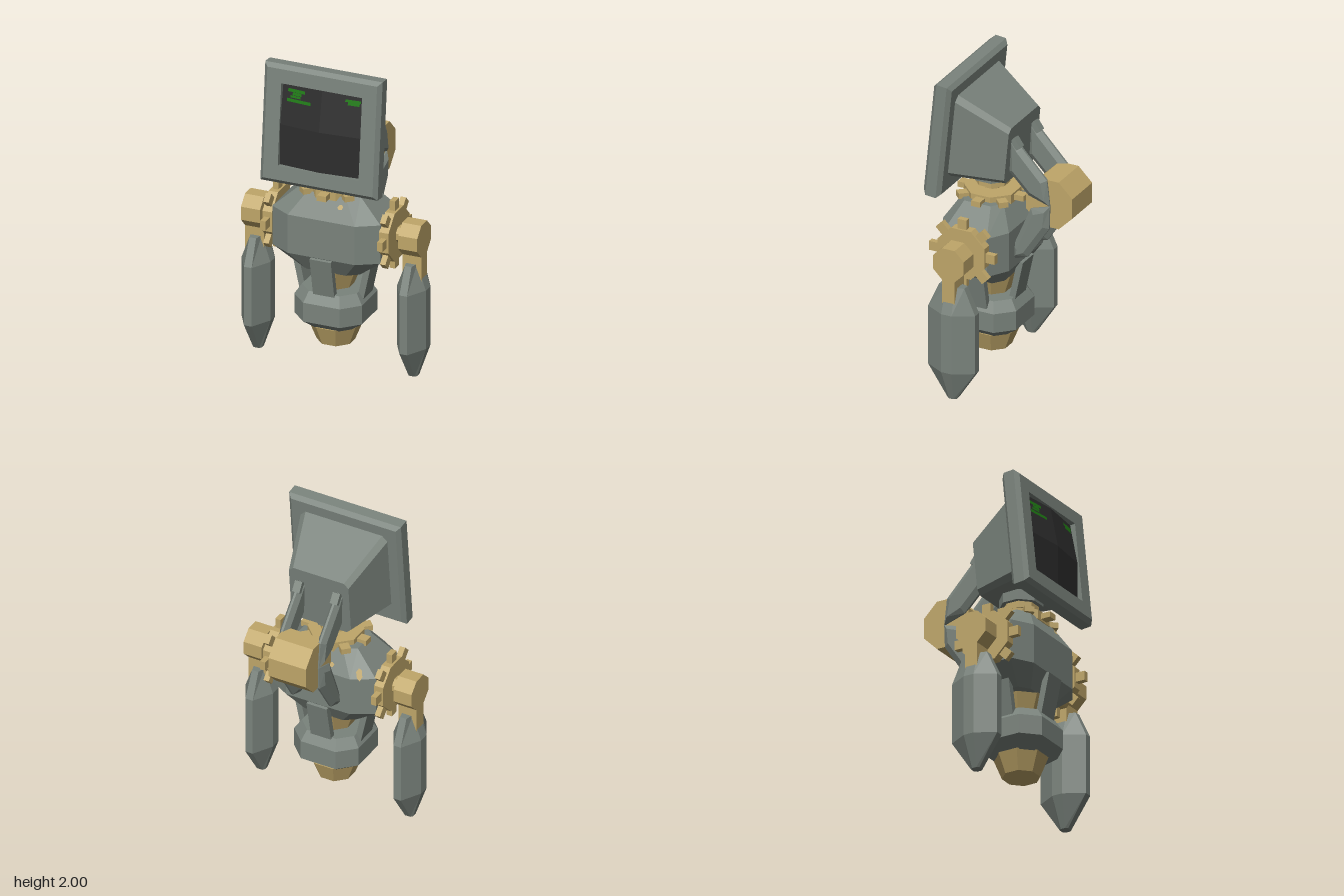
import * as THREE from 'three';

const mat = (name, color, extra = {}) => {
  const m = new THREE.MeshStandardMaterial({ color, flatShading: true, ...extra });
  m.name = name;
  return m;
};

// Closed outlines, counter-clockwise
const rect = (hx, y0, y1) => [[-hx, y0], [hx, y0], [hx, y1], [-hx, y1]];
const oct = (hx, hz, cx, cz) => [[hx, -cz], [hx, cz], [cx, hz], [-cx, hz], [-hx, cz], [-hx, -cz], [-cx, -hz], [cx, -hz]];
const bevelRect = (hx, y0, y1, c) => [[hx, y0 + c], [hx, y1 - c], [hx - c, y1], [c - hx, y1], [-hx, y1 - c], [-hx, y0 + c], [c - hx, y0], [hx - c, y0]];

// Faceted skin through outlines given as [height, outline], rising along z
function loft(rings, capEnd = true) {
  const out = [], n = rings[0][1].length;
  const put = (k, i) => out.push(...rings[k][1][i % n], rings[k][0]);
  for (let k = 0; k + 1 < rings.length; k++) {
    for (let i = 0; i < n; i++) {
      put(k, i); put(k, i + 1); put(k + 1, i + 1);
      put(k, i); put(k + 1, i + 1); put(k + 1, i);
    }
  }
  for (let i = 1; i + 1 < n; i++) {
    put(0, 0); put(0, i + 1); put(0, i);
    const e = rings.length - 1;
    if (capEnd) { put(e, 0); put(e, i); put(e, i + 1); }
  }
  const g = new THREE.BufferGeometry();
  g.setAttribute('position', new THREE.Float32BufferAttribute(out, 3));
  g.computeVertexNormals();
  return g;
}
const loftY = (rings) => loft(rings).rotateX(-Math.PI / 2);

// Eight-sided drum measured across its flats
const drum = (rTop, rBottom, h) => {
  const k = Math.cos(Math.PI / 8);
  return new THREE.CylinderGeometry(rTop / k, rBottom / k, h, 8).rotateY(Math.PI / 8);
};

export function createModel() {
  const root = new THREE.Group();
  root.name = 'robot';
  const grey = mat('grey paint', 0x7a837c), gold = mat('brass', 0xbfa669);
  const dark = mat('dark screen', 0x2d2d2d, { side: THREE.DoubleSide });
  const green = mat('green display', 0x1f7a14, { side: THREE.DoubleSide });
  const C = 0.16; // z of the body axis

  const add = (name, geo, material, x = 0, y = 0, z = 0, parent = root) => {
    const m = new THREE.Mesh(geo, material);
    m.name = name;
    m.position.set(x, y, z);
    parent.add(m);
    return m;
  };
  const box = (w, h, d) => new THREE.BoxGeometry(w, h, d);

  // Torso
  add('torso', loftY([
    [0.65, oct(0.2, 0.15, 0.13, 0.1)],
    [0.77, oct(0.355, 0.225, 0.22, 0.145)],
    [1.025, oct(0.355, 0.225, 0.22, 0.145)],
    [1.165, oct(0.2, 0.14, 0.125, 0.09)],
  ]), grey, 0, 0, C);

  // Worn paint patches, laid on the sloping faces
  const patch = (x, y, z, nx, ny, nz, w, h) => {
    const shape = new THREE.Shape([[-1, -0.3], [-0.3, -1], [0.7, -0.7], [1, 0.2], [0.4, 1], [-0.6, 0.6]]
      .map(([a, b]) => new THREE.Vector2(a * w, b * h)));
    const n = new THREE.Vector3(nx, ny, nz).normalize();
    const m = add('wornPatch', new THREE.ShapeGeometry(shape), gold, x, y, z);
    m.quaternion.setFromUnitVectors(new THREE.Vector3(0, 0, 1), n);
    m.position.addScaledVector(n, 0.006);
  };
  patch(0.105, 1.11, 0.333, 0, 0.085, 0.14, 0.018, 0.018);
  patch(-0.262, 1.05, -0.025, -0.4, 0.42, -0.68, 0.04, 0.02);
  patch(-0.08, 1.07, -0.038, 0, 0.085, -0.14, 0.02, 0.018);

  // Cog wheel with eight teeth
  const cog = (name, x, y, z) => {
    const g = new THREE.Group();
    g.name = name;
    g.position.set(x, y, z);
    add('cogDisc', drum(0.16, 0.16, 0.062), gold, 0, 0, 0, g);
    for (let i = 0; i < 8; i++) {
      const a = i * Math.PI / 4;
      const t = add('cogTooth', box(0.06, 0.036, 0.075), gold, Math.sin(a) * 0.186, 0, Math.cos(a) * 0.186, g);
      t.rotation.y = a;
    }
    root.add(g);
    return g;
  };

  // Neck
  cog('neckCog', 0, 1.17, C);
  add('neckPost', drum(0.05, 0.05, 0.06), gold, 0, 1.22, C);
  add('neckCollar', drum(0.1, 0.1, 0.042), gold, 0, 1.255, C);
  add('neckMount', drum(0.125, 0.125, 0.1), grey, 0, 1.325, C);

  // Arms
  for (const s of [-1, 1]) {
    cog('shoulderCog', s * 0.383, 0.92, C).rotation.z = Math.PI / 2;
    const side = (r, h) => drum(r, r, h).rotateZ(Math.PI / 2);
    add('shoulderAxle', side(0.05, 0.07), gold, s * 0.435, 0.92, C);
    add('shoulder', side(0.105, 0.125), gold, s * 0.516, 0.915, C);
    add('armStrap', box(0.125, 0.26, 0.085), gold, s * 0.516, 0.78, C);
    add('forearm', loftY([
      [0, oct(0.03, 0.03, 0.018, 0.015)],
      [0.2, oct(0.095, 0.16, 0.025, 0.035)],
      [0.59, oct(0.095, 0.16, 0.025, 0.035)],
      [0.755, oct(0.035, 0.085, 0.022, 0.03)],
    ]), grey, s * 0.51, 0, C);
  }

  // Waist, base and struts
  add('waistCone', drum(0.155, 0.1, 0.15), gold, 0, 0.585, C);
  add('baseRing', loftY([
    [0.265, oct(0.14, 0.14, 0.08, 0.08)],
    [0.33, oct(0.222, 0.222, 0.12, 0.12)],
    [0.455, oct(0.222, 0.222, 0.12, 0.12)],
    [0.52, oct(0.18, 0.18, 0.1, 0.1)],
  ]), grey, 0, 0, C);
  add('baseBulb', drum(0.155, 0.108, 0.125), gold, 0, 0.208, C);
  add('baseTip', drum(0.108, 0.002, 0.042), gold, 0, 0.125, C);
  for (let i = 0; i < 4; i++) {
    const g = new THREE.Group();
    g.name = 'strut';
    g.position.z = C;
    g.rotation.y = i * Math.PI / 2;
    add('strutBar', box(0.14, 0.31, 0.04), grey, 0, 0.615, i % 2 ? 0.22 : 0.19, g).rotation.x = 0.21;
    root.add(g);
  }

  // Monitor head, tilted back
  const head = new THREE.Group();
  head.name = 'head';
  head.position.set(0, 1.625, 0.405);
  head.rotation.x = -0.1;
  root.add(head);
  const sq = (h, w = h) => rect(w, -h, h);
  add('bezel', loft([
    [-0.12, sq(0.355, 0.36)], [-0.095, sq(0.38, 0.385)], [-0.025, sq(0.38, 0.385)],
    [0, sq(0.355, 0.36)], [0, sq(0.265)], [-0.04, sq(0.265)],
  ], false), grey, 0, 0, 0, head);
  add('headShell', loft([
    [-0.453, bevelRect(0.205, -0.25, 0.13, 0.03)],
    [-0.115, bevelRect(0.3, -0.27, 0.29, 0.035)],
  ]), grey, 0, 0, 0, head);

  // Bulging screen, highest at its centre
  const bulge = (x, y) => 0.015 - 0.025 * (Math.abs(x) + Math.abs(y)) / 0.265;
  const bent = (geo, lift) => {
    const p = geo.attributes.position;
    for (let i = 0; i < p.count; i++) p.setZ(i, bulge(p.getX(i), p.getY(i)) + lift);
    geo.computeVertexNormals();
    return geo;
  };
  add('screen', bent(new THREE.PlaneGeometry(0.53, 0.53, 2, 2), 0), dark, 0, 0, 0, head);
  for (const [x, y, w, h] of [
    [-0.17, 0.225, 0.115, 0.02], [-0.165, 0.205, 0.06, 0.018], [-0.175, 0.187, 0.07, 0.014],
    [-0.15, 0.163, 0.16, 0.02], [0.2, 0.224, 0.1, 0.016], [0.205, 0.207, 0.075, 0.02],
  ]) {
    add('displayBar', bent(new THREE.PlaneGeometry(w, h).translate(x, y, 0), 0.004), green, 0, 0, 0, head);
  }

  // Rear linkage: elbow drum and paired links
  add('rearElbow', drum(0.157, 0.157, 0.258).rotateZ(Math.PI / 2), gold, 0, 1.235, -0.291);
  const upper = [[-0.03, 1.64], [-0.11, 1.57], [-0.28, 1.39], [-0.3, 1.22], [-0.155, 1.265], [-0.02, 1.4]];
  const lower = [[-0.3, 1.22], [-0.295, 1.07], [-0.15, 0.85], [-0.05, 0.815], [-0.05, 0.9], [-0.17, 1.18]];
  const link = (pts) => {
    const shape = new THREE.Shape(pts.map(([z, y]) => new THREE.Vector2(-z, y)));
    return new THREE.ExtrudeGeometry(shape, {
      depth: 0.014, bevelThickness: 0.023, bevelSize: 0.035, bevelOffset: -0.035, bevelSegments: 1,
    }).translate(0, 0, -0.007).rotateY(Math.PI / 2);
  };
  for (const s of [-1, 1]) {
    add('upperLink', link(upper), grey, s * 0.13, 0, 0);
    add('lowerLink', link(lower), grey, s * 0.13, 0, 0);
    add('linkBracket', box(0.05, 0.07, 0.07), grey, s * 0.13, 1.585, -0.06).rotation.x = 0.6;
  }
  return root;
}
